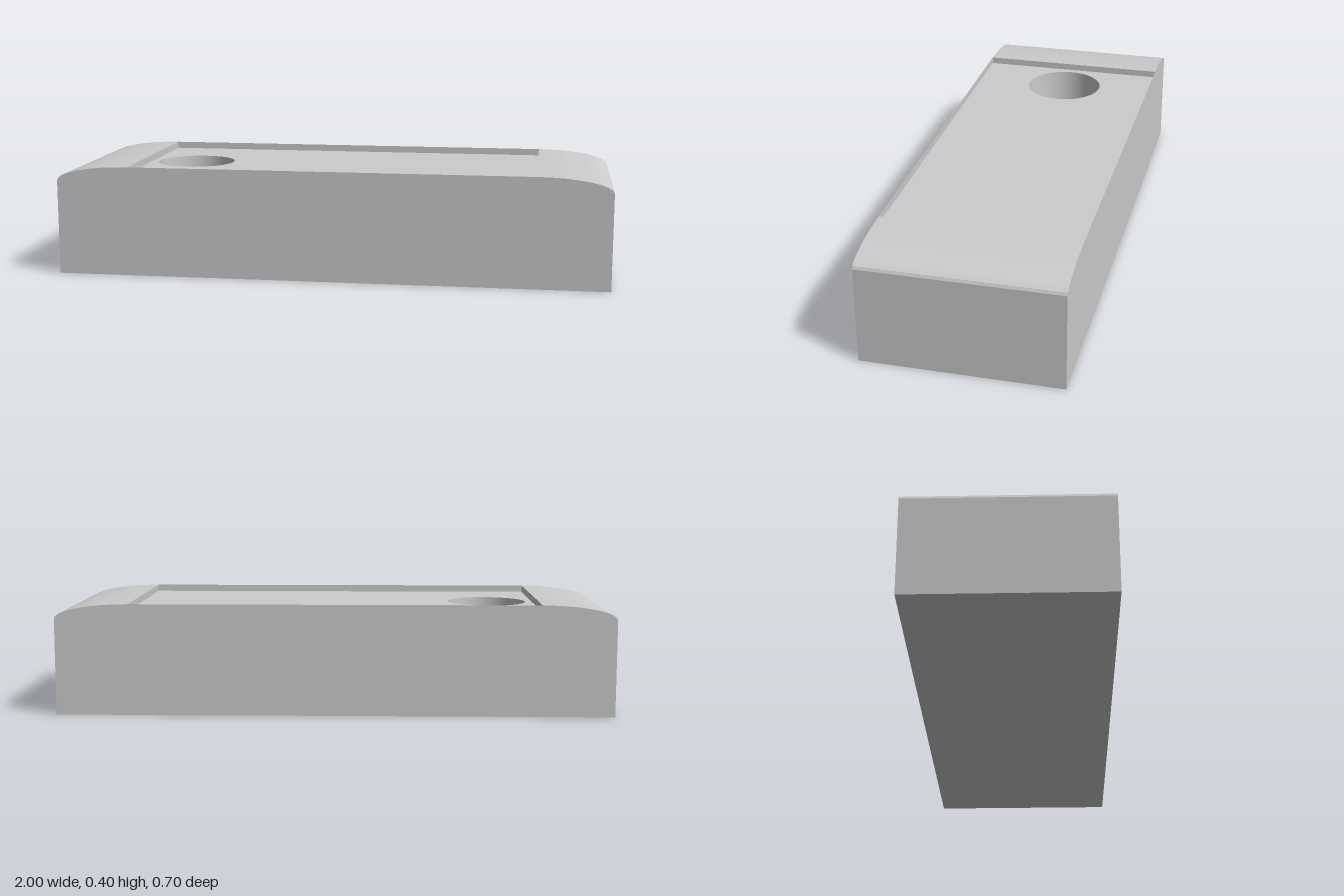
import * as THREE from 'three';

const HALF = 1, DEPTH = 0.7, TOP = 0.4, SHOULDER = 0.347;
const RECESS_X = 0.735, RECESS_Y = 0.375;
const HOLE = { x: -0.565, r: 0.145, floor: 0.17 };

export function createModel() {
  const group = new THREE.Group();
  const solid = new THREE.MeshStandardMaterial({ color: 0xcccccc, flatShading: true });
  const sheet = new THREE.MeshStandardMaterial({ color: 0xcccccc, side: THREE.DoubleSide, flatShading: true });
  const smooth = new THREE.MeshStandardMaterial({ color: 0xcccccc, side: THREE.BackSide });

  const add = (name, geometry, material) => {
    const mesh = new THREE.Mesh(geometry, material);
    mesh.name = name;
    group.add(mesh);
    return mesh;
  };

  // Elliptical shoulder from the right end up to the flat top, mirrored for the left
  const shoulder = [];
  for (let i = 0; i <= 8; i++) {
    const a = (i / 8) * Math.PI / 2;
    shoulder.push(new THREE.Vector2(
      RECESS_X + (HALF - RECESS_X) * Math.cos(a),
      SHOULDER + (TOP - SHOULDER) * Math.sin(a)));
  }
  const mirrored = shoulder.map(p => new THREE.Vector2(-p.x, p.y)).reverse();
  const outline = [
    ...mirrored,
    new THREE.Vector2(-HALF, 0), new THREE.Vector2(HALF, 0),
    ...shoulder,
  ];

  // Thin side walls that rise past the recessed floor
  for (const [name, z] of [['frontWall', DEPTH / 2], ['backWall', -DEPTH / 2]]) {
    add(name, new THREE.ShapeGeometry(new THREE.Shape(outline)), sheet).position.z = z;
  }

  // Ends, underside, rounded shoulders and recess steps as one swept band
  const band = [
    new THREE.Vector2(-RECESS_X, RECESS_Y), ...outline,
    new THREE.Vector2(RECESS_X, RECESS_Y),
  ];
  const positions = [];
  const h = DEPTH / 2;
  for (let i = 0; i < band.length - 1; i++) {
    const a = band[i], b = band[i + 1];
    positions.push(
      a.x, a.y, h, a.x, a.y, -h, b.x, b.y, -h,
      a.x, a.y, h, b.x, b.y, -h, b.x, b.y, h);
  }
  const bandGeometry = new THREE.BufferGeometry();
  bandGeometry.setAttribute('position', new THREE.Float32BufferAttribute(positions, 3));
  bandGeometry.computeVertexNormals();
  add('bodyShell', bandGeometry, sheet);

  // Recessed top panel with a round opening
  const panel = new THREE.Shape([
    new THREE.Vector2(-RECESS_X, -h), new THREE.Vector2(RECESS_X, -h),
    new THREE.Vector2(RECESS_X, h), new THREE.Vector2(-RECESS_X, h),
  ]);
  panel.holes.push(new THREE.Path().absarc(HOLE.x, 0, HOLE.r, 0, Math.PI * 2, true));
  const panelGeometry = new THREE.ShapeGeometry(panel, 24);
  panelGeometry.rotateX(-Math.PI / 2);
  add('recessedPanel', panelGeometry, solid).position.y = RECESS_Y;

  // Blind hole: inner wall and floor
  const wallHeight = RECESS_Y - HOLE.floor;
  const wall = new THREE.CylinderGeometry(HOLE.r, HOLE.r, wallHeight, 48, 1, true);
  add('holeWall', wall, smooth).position.set(HOLE.x, HOLE.floor + wallHeight / 2, 0);
  const floor = new THREE.CircleGeometry(HOLE.r, 48).rotateX(-Math.PI / 2);
  add('holeFloor', floor, solid).position.set(HOLE.x, HOLE.floor, 0);

  return group;
}
